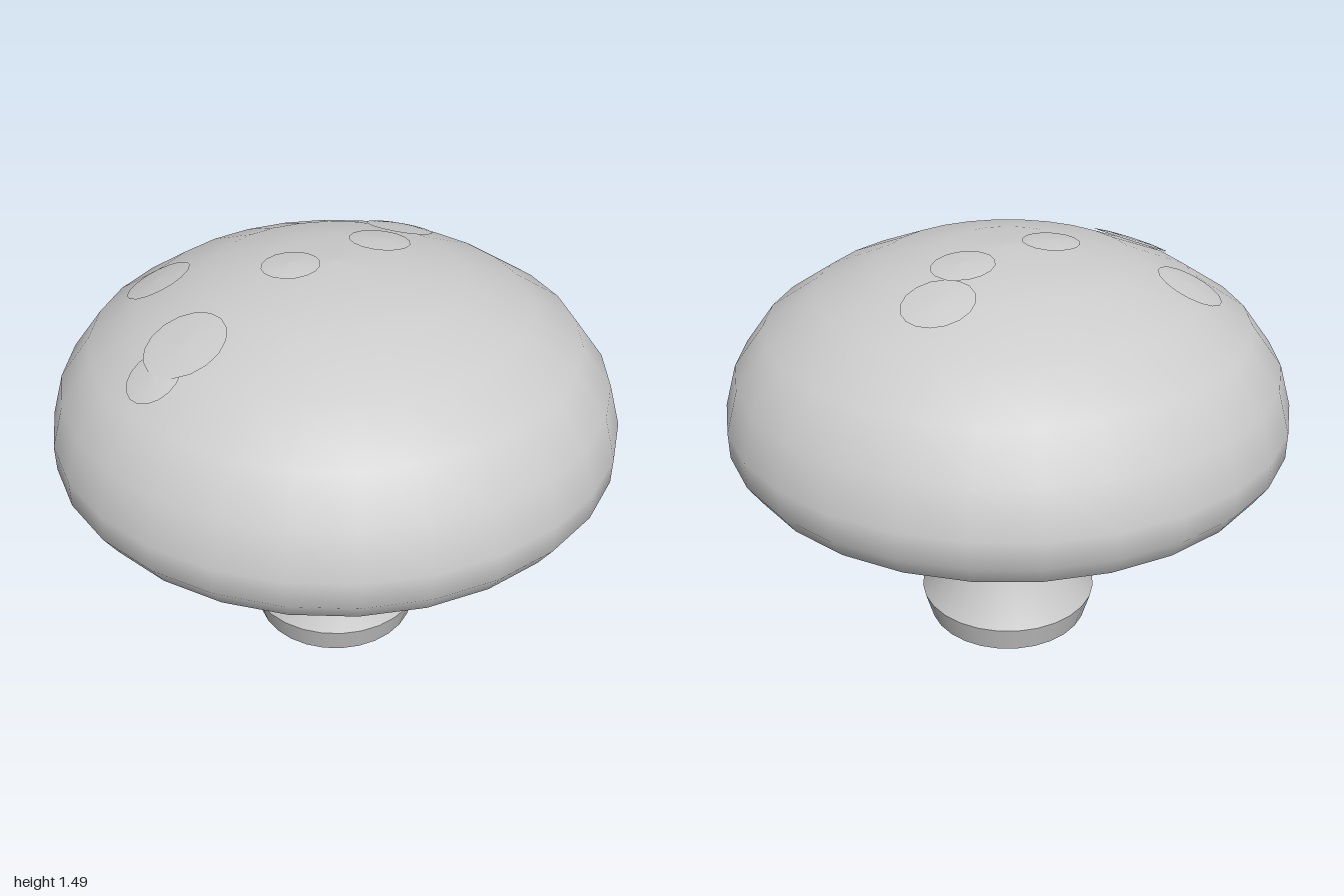
import * as THREE from 'three';

const SIDES = 28;

// Outer curve of the cap, rim to crown: [radius, height]
const DOME = [[0.95, 0.76], [1, 0.837], [1, 0.93], [0.955, 1.08], [0.845, 1.225],
  [0.67, 1.338], [0.445, 1.43], [0.22, 1.475], [0, 1.485]];

// Spots on the cap: [x, z, radius]
const SPOTS = [[-0.03, -0.455, 0.122], [0.025, -0.235, 0.108], [-0.105, 0.11, 0.1],
  [-0.56, 0.265, 0.122], [-0.18, 0.57, 0.143], [-0.205, 0.695, 0.1]];

function lathe(name, profile, material, sides = SIDES) {
  const points = profile.map(([r, y]) => new THREE.Vector2(r, y));
  const mesh = new THREE.Mesh(new THREE.LatheGeometry(points, sides), material);
  mesh.name = name;
  return mesh;
}

// Height of the dome at a distance from its axis
function domeHeight(r) {
  for (let i = DOME.length - 1; i > 3; i--) {
    const [r0, y0] = DOME[i], [r1, y1] = DOME[i - 1];
    if (r <= r1) return y0 + (y1 - y0) * (r - r0) / (r1 - r0);
  }
  return DOME[3][1];
}

export function createModel() {
  const group = new THREE.Group();
  const grey = new THREE.MeshStandardMaterial({ color: 0xcccccc });
  grey.name = 'light grey';

  // Cap: rounded dome and shallow cone beneath it
  group.add(lathe('capDome', DOME, grey));
  group.add(lathe('capUnderside', [[0, 0.645], [0.21, 0.645], [0.95, 0.76]], grey));

  // Stem, flaring into a foot with a sharp lower band
  group.add(lathe('stem', [[0.335, 0.105], [0.225, 0.3], [0.2, 0.54], [0.212, 0.65]], grey));
  group.add(lathe('footBand', [[0.305, 0], [0.335, 0.105]], grey));
  group.add(lathe('footBottom', [[0, 0], [0.305, 0]], grey));

  // Slightly raised spots, tilted to lie on the dome
  const up = new THREE.Vector3(0, 1, 0);
  for (const [x, z, radius] of SPOTS) {
    const r = Math.hypot(x, z);
    const slope = (domeHeight(r - 0.08) - domeHeight(r + 0.08)) / 0.16;
    const normal = new THREE.Vector3(x / r * slope, 1, z / r * slope).normalize();
    const spot = lathe('capSpot', [[radius, 0], [radius * 0.6, 0.006], [0, 0.009]], grey, 16);
    spot.position.set(x, domeHeight(r), z).addScaledVector(normal, 0.003);
    spot.quaternion.setFromUnitVectors(up, normal);
    group.add(spot);
  }
  return group;
}
